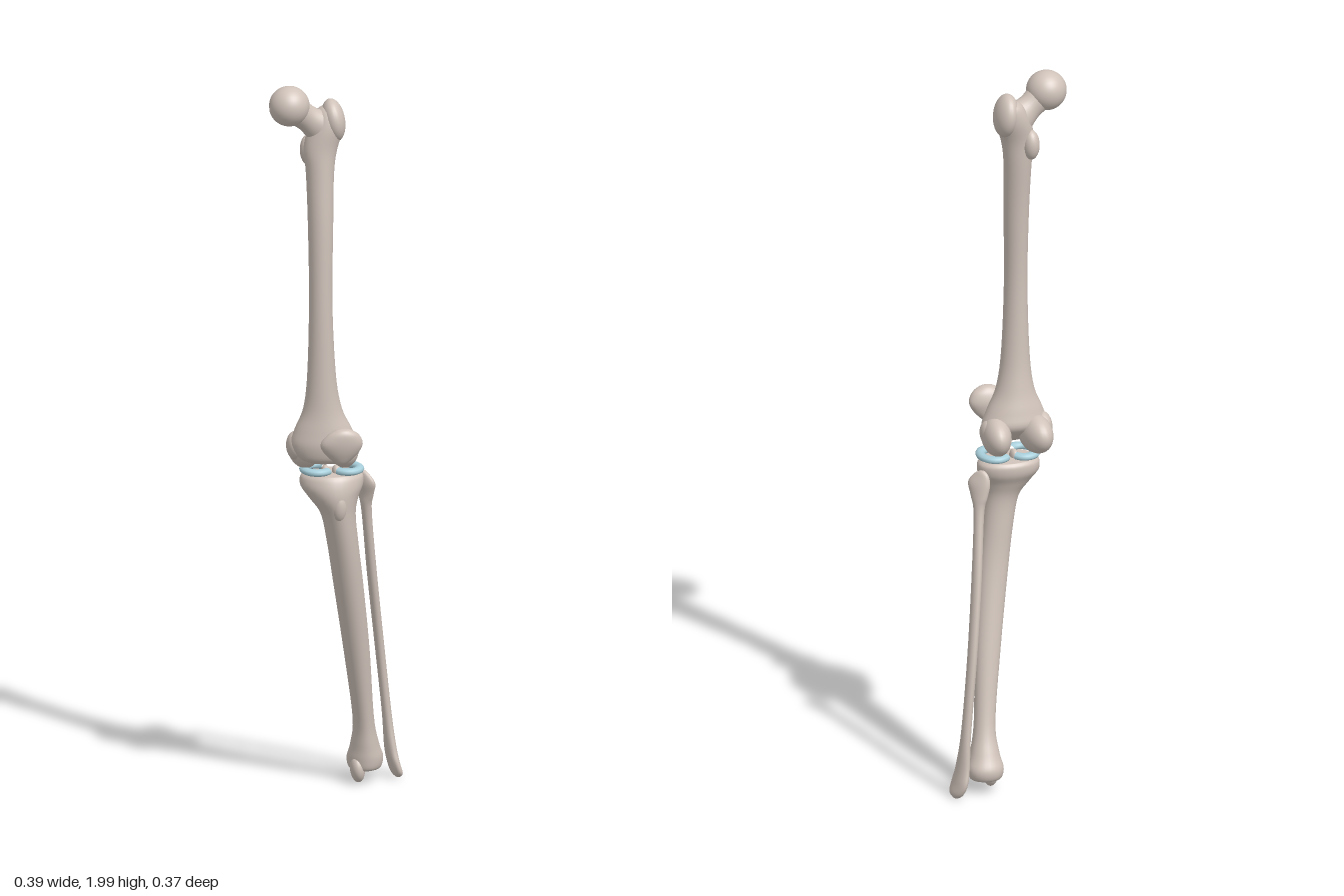
import * as THREE from 'three';

const bone = new THREE.MeshStandardMaterial({ color: 0xd0c3ba });
bone.name = 'bone';
const cartilage = new THREE.MeshStandardMaterial({ color: 0xa9d0dc });
cartilage.name = 'cartilage';

// Smooth loft through horizontal rings, bottom to top.
// Each row: [y, xMin, xMax, zMin, zMax, shear]; ridge narrows the front into a crest.
function loft(name, rows, { ridge = 0, sides = 28, steps = 5 } = {}) {
  const full = rows.map(r => [r[0], r[1], r[2], r[3], r[4], r[5] || 0]);
  const at = t => {
    const i = Math.min(Math.floor(t), full.length - 2), f = t - i;
    const pick = k => full[Math.max(0, Math.min(full.length - 1, k))];
    return full[0].map((_, c) => {
      const [a, b, d, e] = [pick(i - 1)[c], pick(i)[c], pick(i + 1)[c], pick(i + 2)[c]];
      return b + 0.5 * f * (d - a + f * (2 * a - 5 * b + 4 * d - e + f * (3 * (b - d) + e - a)));
    });
  };
  const pos = [], idx = [], n = (full.length - 1) * steps;
  for (let i = 0; i <= n; i++) {
    const [y, x0, x1, z0, z1, s] = at(i / steps);
    const cx = (x0 + x1) / 2, cz = (z0 + z1) / 2, rx = (x1 - x0) / 2, rz = (z1 - z0) / 2;
    for (let j = 0; j < sides; j++) {
      const a = j / sides * Math.PI * 2, c = Math.cos(a), q = Math.sin(a);
      pos.push(cx + rx * c * (1 - ridge * q), y, cz + rz * (q + s * c) / Math.hypot(1, s));
    }
  }
  for (let i = 0; i < n; i++) for (let j = 0; j < sides; j++) {
    const a = i * sides + j, b = i * sides + (j + 1) % sides;
    idx.push(a, a + sides, b, b, a + sides, b + sides);
  }
  // Close both ends
  for (const [row, ring, flip] of [[full[0], 0, false], [full[full.length - 1], n, true]]) {
    const v = pos.length / 3;
    pos.push((row[1] + row[2]) / 2, row[0], (row[3] + row[4]) / 2);
    for (let j = 0; j < sides; j++) {
      const a = ring * sides + j, b = ring * sides + (j + 1) % sides;
      flip ? idx.push(v, b, a) : idx.push(v, a, b);
    }
  }
  const g = new THREE.BufferGeometry();
  g.setAttribute('position', new THREE.Float32BufferAttribute(pos, 3));
  g.setIndex(idx);
  g.computeVertexNormals();
  const m = new THREE.Mesh(g, bone);
  m.name = name;
  return m;
}

// Ellipsoid swelling on a bone
function knob(name, [x, y, z], [rx, ry, rz], [ax, ay, az] = [0, 0, 0]) {
  const m = new THREE.Mesh(new THREE.SphereGeometry(1, 28, 20), bone);
  m.position.set(x, y, z);
  m.scale.set(rx, ry, rz);
  m.rotation.set(ax, ay, az);
  m.name = name;
  return m;
}

// Ball with a small pit at the pole, pole turned to the inner side
function femurHead() {
  const pts = [];
  for (let i = 0; i <= 32; i++) {
    const a = -Math.PI / 2 + i / 32 * Math.PI;
    const pit = 0.006 * Math.max(0, 1 - (Math.PI / 2 - a) / 0.3);
    pts.push(new THREE.Vector2(Math.max(0, Math.cos(a) * 0.055), Math.sin(a) * 0.055 - pit));
  }
  const m = new THREE.Mesh(new THREE.LatheGeometry(pts, 36), bone);
  m.position.set(-0.141, 1.945, 0.057);
  m.rotation.z = Math.PI / 2;
  m.name = 'femurHead';
  return m;
}

function femurNeck() {
  const from = new THREE.Vector3(-0.035, 1.865, 0.035), to = new THREE.Vector3(-0.141, 1.945, 0.057);
  const l = from.distanceTo(to);
  const row = (t, r, d) => [l * t, -r, r, -d, d];
  const m = loft('femurNeck', [row(-0.1, 0.05, 0.035), row(0.2, 0.046, 0.036), row(0.55, 0.036, 0.032), row(0.9, 0.042, 0.04)]);
  m.position.copy(from);
  m.quaternion.setFromUnitVectors(new THREE.Vector3(0, 1, 0), to.sub(from).normalize());
  return m;
}

// C-shaped pad, open toward the middle of the knee
function meniscus(name, x, side) {
  const arc = Math.PI * 1.55;
  const g = new THREE.TorusGeometry(0.034, 0.013, 10, 32, arc);
  g.rotateZ(-arc / 2).rotateX(Math.PI / 2);
  if (side < 0) g.rotateY(Math.PI);
  g.scale(1, 0.75, 1.3);
  const m = new THREE.Mesh(g, cartilage);
  m.position.set(x, 0.922, 0.025);
  m.name = name;
  return m;
}

export function createModel() {
  const model = new THREE.Group();
  model.name = 'legBones';

  // Thigh bone
  const femur = new THREE.Group();
  femur.name = 'femur';
  femur.add(
    loft('femurShaft', [
      [0.95, -0.085, 0.01, 0.04, 0.085],
      [0.965, -0.115, 0.035, 0.02, 0.098],
      [1.0, -0.135, 0.045, -0.015, 0.106],
      [1.04, -0.125, 0.03, -0.01, 0.104],
      [1.1, -0.102, 0.002, 0.005, 0.099],
      [1.2, -0.092, -0.015, 0.02, 0.098],
      [1.4, -0.088, -0.025, 0.029, 0.1],
      [1.6, -0.09, -0.022, 0.02, 0.097],
      [1.75, -0.094, -0.018, 0.006, 0.087],
      [1.82, -0.1, -0.008, 0, 0.082],
      [1.88, -0.085, 0.012, -0.012, 0.08],
      [1.92, -0.065, 0.008, -0.01, 0.07],
      [1.935, -0.045, -0.005, 0.005, 0.055]]),
    femurHead(), femurNeck(),
    knob('greaterTrochanter', [-0.018, 1.895, 0.032], [0.032, 0.06, 0.052], [0, 0, 0.15]),
    knob('lesserTrochanter', [-0.083, 1.81, 0.012], [0.023, 0.042, 0.027]),
    knob('medialCondyle', [-0.094, 0.977, 0.006], [0.042, 0.053, 0.072], [0, 0.12, 0]),
    knob('lateralCondyle', [0.014, 0.977, 0.017], [0.04, 0.053, 0.073], [0, -0.1, 0]),
    knob('medialEpicondyle', [-0.118, 0.99, 0.025], [0.027, 0.04, 0.04]),
    knob('lateralEpicondyle', [0.032, 0.985, 0.025], [0.024, 0.035, 0.038]));

  // Kneecap
  const patella = loft('patella', [
    [0.965, -0.02, -0.004, 0.148, 0.158],
    [0.975, -0.035, 0.01, 0.14, 0.168],
    [1.0, -0.06, 0.034, 0.134, 0.18],
    [1.025, -0.07, 0.045, 0.132, 0.186],
    [1.05, -0.052, 0.035, 0.139, 0.186],
    [1.064, -0.03, 0.015, 0.15, 0.18],
    [1.068, -0.015, 0.002, 0.16, 0.17]]);

  // Shin bone
  const tibia = new THREE.Group();
  tibia.name = 'tibia';
  tibia.add(
    loft('tibiaShaft', [
      [0.046, 0.06, 0.115, -0.14, -0.085],
      [0.052, 0.045, 0.132, -0.16, -0.065],
      [0.08, 0.04, 0.138, -0.165, -0.058],
      [0.12, 0.048, 0.125, -0.145, -0.055],
      [0.2, 0.051, 0.108, -0.113, -0.045],
      [0.4, 0.02, 0.09, -0.067, 0.002],
      [0.6, -0.014, 0.066, -0.028, 0.052],
      [0.72, -0.034, 0.05, -0.015, 0.08],
      [0.8, -0.052, 0.042, -0.012, 0.095],
      [0.845, -0.083, 0.05, -0.025, 0.102],
      [0.875, -0.104, 0.063, -0.04, 0.1],
      [0.9, -0.105, 0.065, -0.042, 0.092],
      [0.912, -0.095, 0.056, -0.034, 0.083]], { ridge: 0.14 }),
    knob('medialMalleolus', [0.065, 0.052, -0.092], [0.02, 0.038, 0.032], [0, 0, 0.1]),
    knob('tibialTuberosity', [-0.008, 0.83, 0.08], [0.022, 0.045, 0.024]));
  for (const x of [-0.038, -0.008])
    tibia.add(knob('plateauSpine', [x, 0.912, 0.022], [0.012, 0.02, 0.022]));

  // Slender outer bone
  const fibula = loft('fibula', [
    [0.012, 0.176, 0.188, -0.155, -0.135, 0.4],
    [0.025, 0.164, 0.194, -0.172, -0.115, 0.4],
    [0.055, 0.154, 0.186, -0.182, -0.11, 0.4],
    [0.1, 0.146, 0.177, -0.174, -0.118, 0.3],
    [0.2, 0.138, 0.164, -0.163, -0.124],
    [0.4, 0.115, 0.141, -0.143, -0.105],
    [0.6, 0.09, 0.117, -0.106, -0.066],
    [0.78, 0.07, 0.098, -0.064, -0.03],
    [0.83, 0.061, 0.1, -0.061, -0.016, 0.6],
    [0.865, 0.053, 0.103, -0.058, -0.004, 0.9],
    [0.89, 0.056, 0.088, -0.05, -0.012, 0.9],
    [0.901, 0.064, 0.076, -0.038, -0.026, 0.5]], { sides: 20 });

  model.add(femur, patella, tibia, fibula,
    meniscus('medialMeniscus', -0.062, -1), meniscus('lateralMeniscus', 0.02, 1));
  return model;
}
